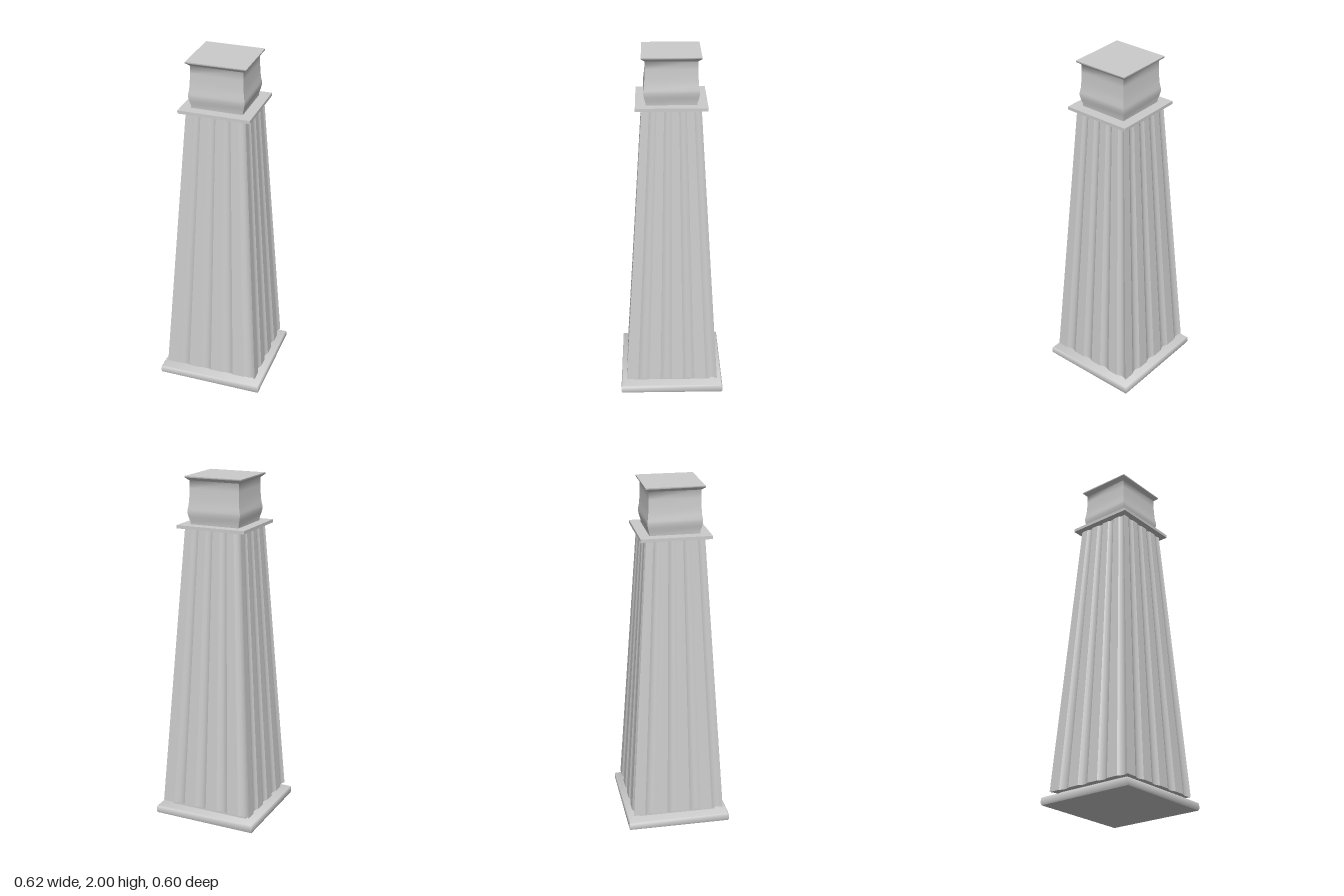
import * as THREE from 'three';
import { toCreasedNormals } from 'three/addons/utils/BufferGeometryUtils.js';

const material = new THREE.MeshStandardMaterial({ color: 0xcccccc });

// Turns one side, given as [along, outward] points, into a closed four-sided section.
function fourSides(side) {
  const turns = [(t, d) => [t, d], (t, d) => [d, -t], (t, d) => [-t, -d], (t, d) => [-d, t]];
  return turns.flatMap((turn) => side.map(([t, d]) => turn(t, d)));
}

// Unit square, and a unit square with shallow flutes in every other strip.
const plainSection = fourSides([[-1, 1]]);
function flutedSection(strips, depth, steps) {
  const side = [];
  for (let s = 0; s < strips; s++) {
    const fluted = s % 2 === 1;
    const n = fluted ? steps : 1;
    for (let i = 0; i < n; i++) {
      const u = i / n;
      side.push([-1 + (2 * (s + u)) / strips, 1 - (fluted ? 4 * depth * u * (1 - u) : 0)]);
    }
  }
  return fourSides(side);
}

// Lofts a section through rows of [half width, half depth, height] and caps both ends.
function loft(name, section, rows, crease) {
  const n = section.length;
  const positions = [];
  const index = [];
  for (const [hx, hz, y] of rows) {
    for (const [x, z] of section) positions.push(x * hx, y, z * hz);
  }
  for (let r = 0; r < rows.length - 1; r++) {
    for (let i = 0; i < n; i++) {
      const a = r * n + i;
      const b = r * n + ((i + 1) % n);
      index.push(a, b, b + n, a, b + n, a + n);
    }
  }
  const last = (rows.length - 1) * n;
  const bottom = rows.length * n;
  positions.push(0, rows[0][2], 0, 0, rows[rows.length - 1][2], 0);
  for (let i = 0; i < n; i++) {
    const j = (i + 1) % n;
    index.push(bottom, j, i, bottom + 1, last + i, last + j);
  }
  const geometry = new THREE.BufferGeometry();
  geometry.setAttribute('position', new THREE.Float32BufferAttribute(positions, 3));
  geometry.setIndex(index);
  const mesh = new THREE.Mesh(toCreasedNormals(geometry, crease), material);
  mesh.name = name;
  return mesh;
}

export function createModel() {
  const group = new THREE.Group();
  group.name = 'taperedPedestal';

  // Base slab and the recessed plinth above it
  group.add(loft('baseSlab', plainSection, [
    [0.308, 0.296, 0], [0.312, 0.3, 0.01], [0.312, 0.3, 0.038], [0.306, 0.294, 0.045],
  ], 1.0));
  group.add(loft('plinth', plainSection, [[0.238, 0.228, 0.044], [0.238, 0.228, 0.076]], 0.5));

  // Tapered fluted shaft
  group.add(loft('flutedShaft', flutedSection(8, 0.043, 8), [
    [0.279, 0.268, 0.075], [0.17, 0.163, 1.716],
  ], 0.35));

  // Thin collar
  group.add(loft('collar', plainSection, [[0.205, 0.198, 1.714], [0.205, 0.198, 1.732]], 0.5));

  // Curved neck with a bulge near its foot and a flared lip
  group.add(loft('neck', plainSection, [
    [0.146, 0.14, 1.73], [0.148, 0.142, 1.75], [0.155, 0.149, 1.775], [0.16, 0.153, 1.8],
    [0.159, 0.152, 1.815], [0.154, 0.148, 1.84], [0.151, 0.145, 1.88], [0.149, 0.143, 1.93],
    [0.149, 0.143, 1.975], [0.17, 0.163, 1.992], [0.17, 0.163, 2],
  ], 1.0));

  return group;
}
